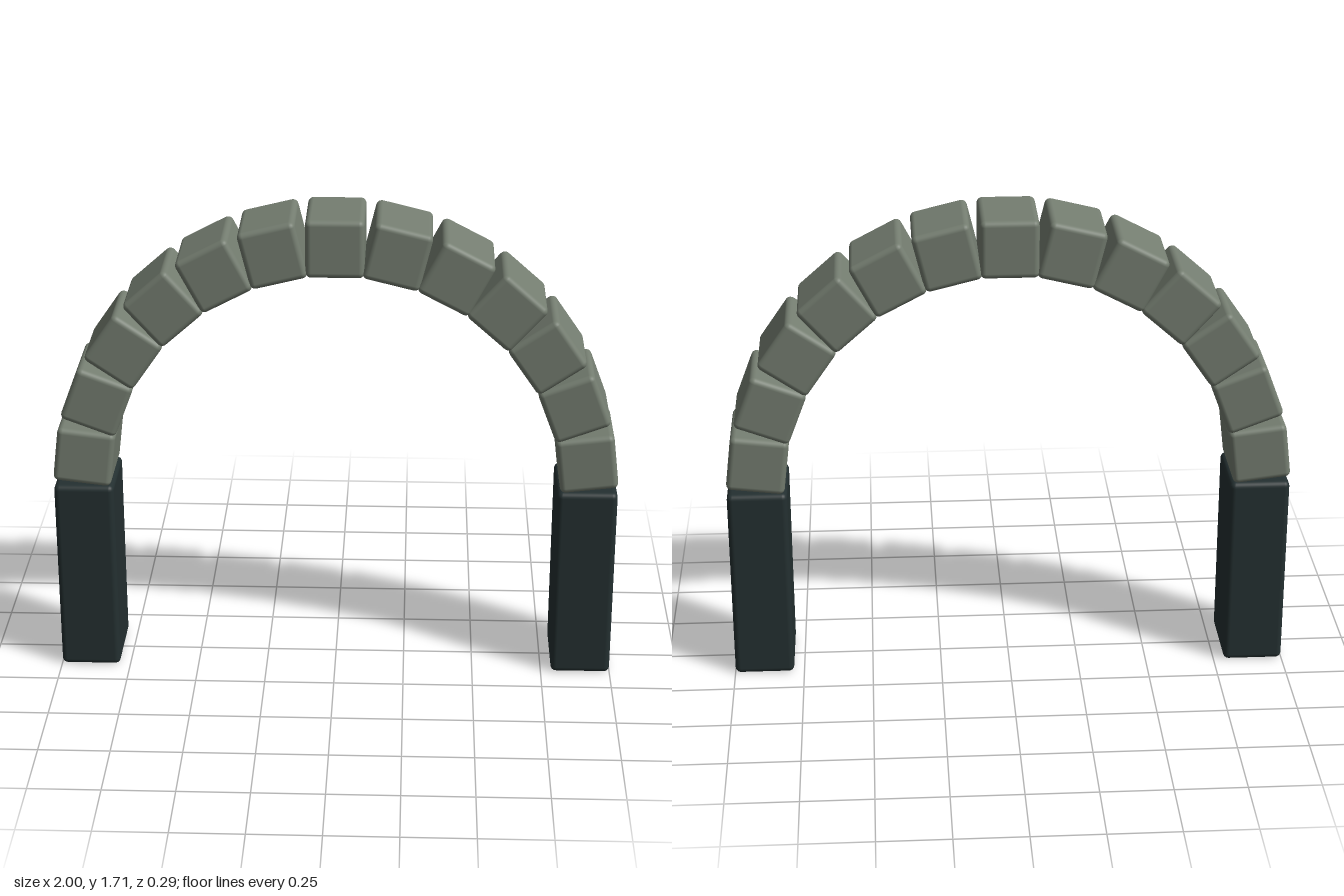
import * as THREE from 'three';
import { RoundedBoxGeometry } from 'three/addons/geometries/RoundedBoxGeometry.js';

export function createModel() {
  const arch = new THREE.Group();
  arch.name = 'stoneArch';

  const stone = new THREE.MeshStandardMaterial({ color: 0x757e71 });
  stone.name = 'greyGreenStone';
  const dark = new THREE.MeshStandardMaterial({ color: 0x243031 });
  dark.name = 'darkStone';

  const depth = 0.286, bevel = 0.02;
  const radius = 0.893, springY = 0.718, count = 13;

  // Two dark pillars
  const pillarHeight = 0.716;
  const pillarGeo = new RoundedBoxGeometry(0.213, pillarHeight, depth, 3, bevel);
  for (const side of [-1, 1]) {
    const pillar = new THREE.Mesh(pillarGeo, dark);
    pillar.name = side > 0 ? 'leftPillar' : 'rightPillar';
    pillar.position.set(side * radius, pillarHeight / 2, 0);
    arch.add(pillar);
  }

  // Ring of equal blocks along a half circle, each turned to face outward
  const blockGeo = new RoundedBoxGeometry(0.203, 0.206, depth, 3, bevel);
  for (let i = 0; i < count; i++) {
    const angle = (Math.PI * (i + 0.5)) / count;
    const block = new THREE.Mesh(blockGeo, stone);
    block.name = i === (count - 1) / 2 ? 'keystone' : `archBlock${i + 1}`;
    block.position.set(Math.cos(angle) * radius, springY + Math.sin(angle) * radius, 0);
    block.rotation.z = angle - Math.PI / 2;
    arch.add(block);
  }

  return arch;
}
